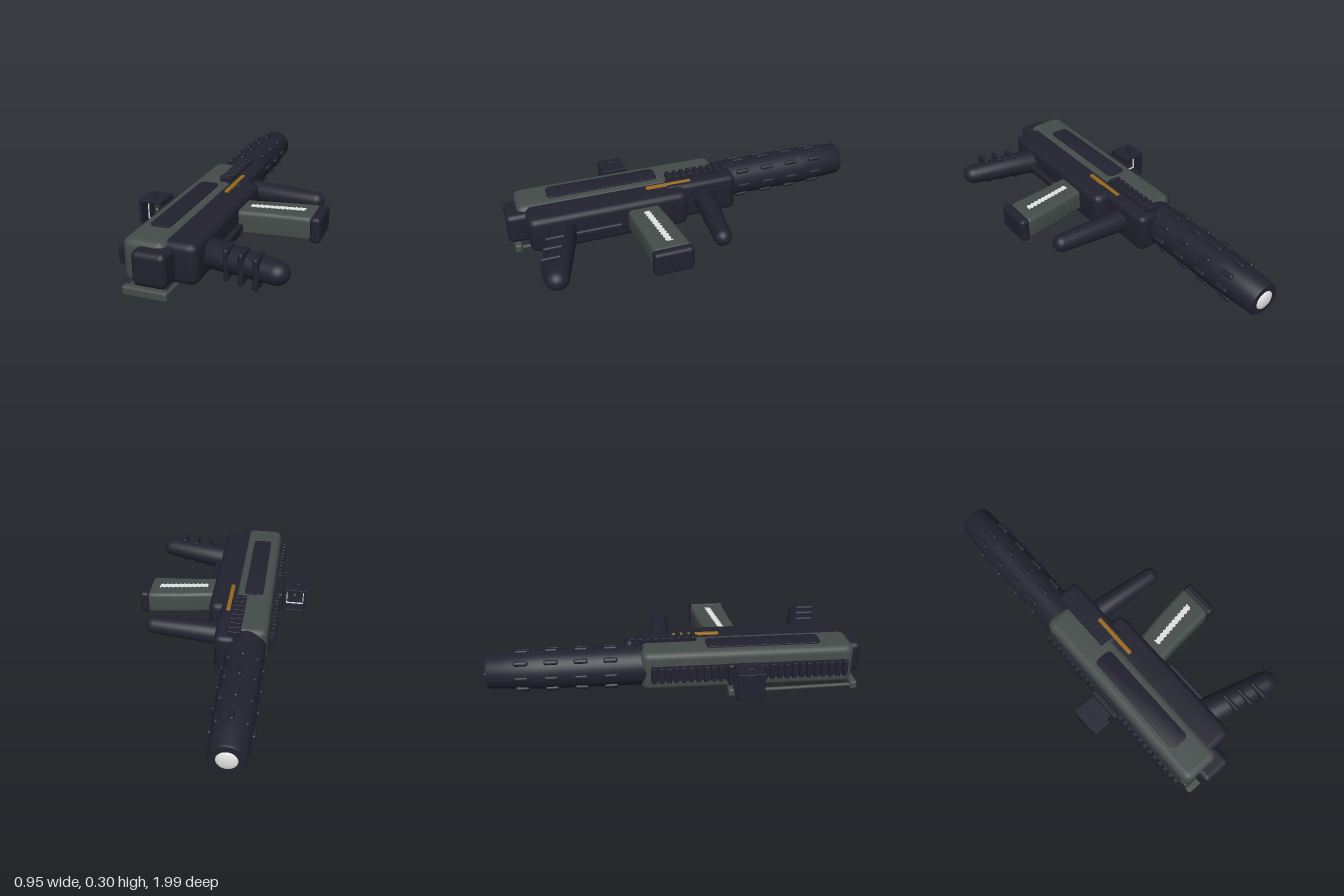
import * as THREE from 'three';
import { toCreasedNormals } from 'three/addons/utils/BufferGeometryUtils.js';
import { RoundedBoxGeometry } from 'three/addons/geometries/RoundedBoxGeometry.js';

const CY = 0.168; // mid-plane height of the body, which lies on its side
const BX = -0.18; // barrel axis

const material = (name, color) => {
  const m = new THREE.MeshStandardMaterial({ color });
  m.name = name;
  return m;
};

// Outline in the x-z plane with softened corners
function outline(points, r) {
  const p = points.map(([x, z]) => new THREE.Vector2(x, -z));
  const shape = new THREE.Shape();
  p.forEach((c, i) => {
    const prev = p[(i + p.length - 1) % p.length], next = p[(i + 1) % p.length];
    const toward = (q) => c.clone().add(q.clone().sub(c).setLength(Math.min(r, c.distanceTo(q) / 2.1)));
    const a = toward(prev), b = toward(next);
    if (i) shape.lineTo(a.x, a.y);
    else shape.moveTo(a.x, a.y);
    shape.quadraticCurveTo(c.x, c.y, b.x, b.y);
  });
  shape.closePath();
  return shape;
}

// Bevelled slab: outline in x-z, centred on CY with the given half height
function slab(points, half, bevel, r) {
  const g = new THREE.ExtrudeGeometry(outline(points, r), {
    depth: 2 * (half - bevel), bevelEnabled: true, bevelSize: bevel, bevelThickness: bevel,
    bevelOffset: -bevel, bevelSegments: 5, curveSegments: 6,
  });
  g.translate(0, 0, bevel - half);
  g.rotateX(-Math.PI / 2);
  g.translate(0, CY, 0);
  return toCreasedNormals(g, 0.6);
}

// Box from min/max ranges, optionally rounded
function box([x0, x1], [y0, y1], [z0, z1], r = 0) {
  const s = [x1 - x0, y1 - y0, z1 - z0];
  const g = r ? new RoundedBoxGeometry(...s, 3, r) : new THREE.BoxGeometry(...s);
  return g.translate((x0 + x1) / 2, (y0 + y1) / 2, (z0 + z1) / 2);
}

// Tapered handle with a domed end, running in the x-z plane
function handle([x0, z0], r0, [x1, z1], r1, squash) {
  const dir = new THREE.Vector3(x1 - x0, 0, z1 - z0);
  const len = dir.length();
  const profile = [new THREE.Vector2(0, 0), new THREE.Vector2(r0, 0)];
  for (let i = 0; i <= 8; i++) {
    const a = (i / 8) * Math.PI / 2;
    profile.push(new THREE.Vector2(r1 * Math.cos(a), len - r1 + r1 * Math.sin(a)));
  }
  const g = new THREE.LatheGeometry(profile, 28);
  g.applyQuaternion(new THREE.Quaternion().setFromUnitVectors(new THREE.Vector3(0, 1, 0), dir.normalize()));
  g.scale(1, squash, 1);
  return g.translate(x0, CY, z0);
}

export function createModel() {
  const root = new THREE.Group();
  root.name = 'toyBlaster';
  const dark = material('darkPolymer', 0x222230);
  const grey = material('greenGreyMetal', 0x444c4a);
  const amber = material('amber', 0x96691a);
  const white = material('paleWhite', 0xe2e2e2);
  const add = (name, geometry, mat, parent = root) => {
    const m = new THREE.Mesh(geometry, mat);
    m.name = name;
    parent.add(m);
    return m;
  };
  const group = (name) => {
    const g = new THREE.Group();
    g.name = name;
    root.add(g);
    return g;
  };
  // Height range on either side of the mid-plane
  const side = (s, a, b) => (s > 0 ? [CY + a, CY + b] : [CY - b, CY - a]);

  // Body
  add('upperReceiver', slab([[-0.288, -0.19], [-0.12, -0.19], [-0.075, -0.1], [-0.075, 0.93], [-0.288, 0.93]], 0.107, 0.035, 0.05), grey);
  add('lowerReceiver', slab([[-0.14, 0.03], [0.057, 0.03], [0.057, 0.89], [-0.14, 0.89]], 0.101, 0.035, 0.05), dark);
  add('lowerFront', slab([[-0.13, -0.27], [-0.013, -0.27], [-0.013, 0.14], [-0.13, 0.14]], 0.108, 0.03, 0.04), dark);
  add('buttPad', box([-0.213, -0.045], [0.083, 0.253], [0.86, 0.992], 0.03), dark);

  // Details on both flat sides
  for (const s of [1, -1]) {
    add('sidePanel', slab([[-0.234, 0.155], [-0.13, 0.155], [-0.13, 0.76], [-0.234, 0.76]], 0.005, 0.002, 0.03), dark)
      .position.y = s * 0.109;
    add('amberStrip', box([-0.07, -0.047], side(s, 0.09, 0.113), [-0.015, 0.24], 0.006), amber);
    const rail = group('sideRail');
    add('sideRailBase', box([-0.148, -0.085], side(s, 0.08, 0.118), [-0.235, 0.11]), dark, rail);
    for (let i = 0; i < 9; i++) {
      const z = -0.225 + i * 0.04;
      add('sideRailTooth', box([-0.15, -0.082], side(s, 0.115, 0.132), [z - 0.012, z + 0.012], 0.003), dark, rail);
    }
  }

  // Barrel sleeve with rows of ribs and a pale tip
  const barrel = group('barrel');
  const sleeve = new THREE.LatheGeometry(
    [[0, 0.1], [0.104, 0.1], [0.104, 0.72], [0.09, 0.975], [0.084, 0.985], [0, 0.985]].map(([r, h]) => new THREE.Vector2(r, h)), 40);
  sleeve.rotateX(-Math.PI / 2).translate(BX, CY - 0.003, 0);
  add('barrelSleeve', toCreasedNormals(sleeve, 0.6), dark, barrel);
  for (let row = 0; row < 4; row++) {
    for (let i = 0; i < 8; i++) {
      const a = (i * Math.PI) / 4;
      const r = row === 3 ? 0.101 : 0.104;
      const rib = add('barrelRib', new RoundedBoxGeometry(0.025, 0.027, 0.072, 3, 0.01), dark, barrel);
      rib.position.set(BX + r * Math.sin(a), CY - 0.003 + r * Math.cos(a), -0.345 - row * 0.152);
      rib.rotation.z = -a;
    }
  }
  const dome = new THREE.SphereGeometry(0.052, 28, 16).scale(1, 1, 0.3);
  add('tipLens', dome.translate(BX, CY - 0.003, -0.9844), white, barrel);

  // Toothed rail along the upper edge
  const rail = group('topRail');
  add('topRailBase', box([-0.308, -0.27], [CY - 0.038, CY + 0.038], [-0.14, 0.89]), dark, rail);
  for (let i = 0; i < 27; i++) {
    const z = -0.125 + i * 0.0385;
    add('topRailTooth', box([-0.325, -0.3], [CY - 0.043, CY + 0.043], [z - 0.012, z + 0.012], 0.003), dark, rail);
  }

  // Open sight frame on its mount
  const sight = group('sight');
  add('sightMount', box([-0.343, -0.31], [0.112, 0.224], [0.255, 0.44], 0.01), dark, sight);
  const X = [-0.475, -0.347], Y = [0.095, 0.242], Z = [0.28, 0.42], t = 0.014;
  add('sightWall', box([X[0], X[0] + t], Y, Z, 0.003), dark, sight);
  add('sightWall', box([X[1] - t, X[1]], Y, Z, 0.003), dark, sight);
  add('sightWall', box(X, [Y[0], Y[0] + t], Z, 0.003), dark, sight);
  add('sightWall', box(X, [Y[1] - t, Y[1]], Z, 0.003), dark, sight);
  const rim = new THREE.Shape([[-0.463, 0.107], [-0.359, 0.107], [-0.359, 0.23], [-0.463, 0.23]].map((p) => new THREE.Vector2(...p)));
  rim.holes.push(new THREE.Path([[-0.456, 0.114], [-0.366, 0.114], [-0.366, 0.223], [-0.456, 0.223]].map((p) => new THREE.Vector2(...p))));
  add('sightRim', new THREE.ExtrudeGeometry(rim, { depth: 0.006, bevelEnabled: false }).translate(0, 0, 0.345), white, sight);
  add('sightDot', new THREE.SphereGeometry(0.004, 10, 8).translate(-0.409, CY, 0.348), white, sight);
  add('sightKnob', box([-0.437, -0.414], [0.238, 0.255], [0.33, 0.37], 0.004), dark, sight);

  // Magazine with a jagged pale strip on each face
  const mag = group('magazine');
  add('magazineBody', slab([[0, 0.19], [0.06, 0.196], [0.24, 0.163], [0.43, 0.138], [0.43, 0.335], [0.24, 0.35], [0.06, 0.37], [0, 0.37]], 0.064, 0.022, 0.03), grey, mag);
  add('magazineBase', box([0.418, 0.472], [0.1, 0.236], [0.138, 0.345], 0.02), dark, mag);
  const zig = [[], []];
  for (let i = 0; i <= 22; i++) {
    const x = 0.095 + i * 0.0125, z = 0.279 - i * 0.0019, j = i % 2 ? 0.004 : -0.004;
    zig[0].push(new THREE.Vector2(x, -(z - 0.015 + j)));
    zig[1].unshift(new THREE.Vector2(x, -(z + 0.015 + j)));
  }
  const strip = new THREE.ExtrudeGeometry(new THREE.Shape([...zig[0], ...zig[1]]), { depth: 0.006, bevelEnabled: false });
  strip.rotateX(-Math.PI / 2);
  for (const s of [1, -1]) add('magazineStrip', strip, white, mag).position.y = CY + s * 0.064 - 0.003;

  // Handles and trigger
  add('frontHandle', handle([-0.05, -0.088], 0.062, [0.395, -0.05], 0.048, 1), dark);
  const grip = group('rearGrip');
  add('gripBody', handle([0.01, 0.712], 0.08, [0.46, 0.822], 0.06, 0.9), dark, grip);
  [0.167, 0.245, 0.322].forEach((x, i) => {
    const z = 0.772 + i * 0.023;
    add('gripRidge', box([x - 0.012, x + 0.012], [0.09, 0.245], [z - 0.053, z + 0.053], 0.011), dark, grip);
  });
  add('triggerBar', box([0.07, 0.1], [0.148, 0.188], [0.405, 0.66], 0.012), dark);

  // Wire stock folded along the lower side
  const stock = group('foldedStock');
  add('stockEnd', box([-0.28, -0.055], [0.012, 0.06], [0.928, 0.968], 0.012), grey, stock);
  add('stockHinge', box([-0.28, -0.055], [0, 0.045], [0.27, 0.335], 0.012), grey, stock);
  for (const x of [-0.262, -0.073]) {
    const path = new THREE.LineCurve3(new THREE.Vector3(x, 0.036, 0.95), new THREE.Vector3(x, 0.025, 0.3));
    add('stockRod', new THREE.TubeGeometry(path, 1, 0.01, 12), grey, stock);
  }
  add('stockLatch', box([-0.2, -0.13], [0.018, 0.07], [0.55, 0.6], 0.008), grey, stock);

  return root;
}
